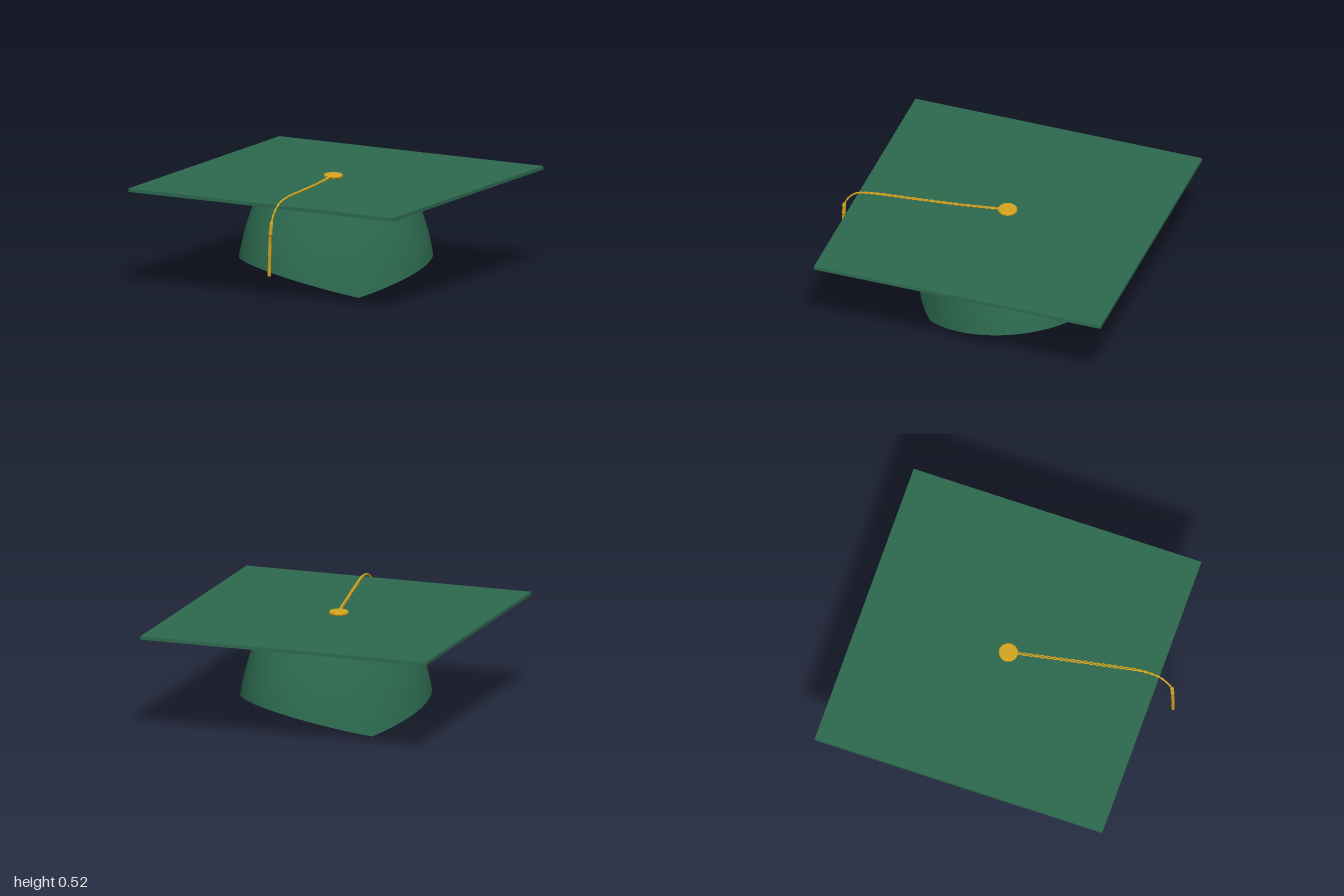
import * as THREE from 'three';

const V = (x, y, z) => new THREE.Vector3(x, y, z);

// Hollow skull cap: elliptical rings with a slanted rim, outer wall up, inner wall down
function skullCapGeometry() {
  const seg = 96, rows = 10, thick = 0.012;
  const rings = [];
  for (let i = 0; i <= rows; i++) rings.push([i / rows, 0]);
  const outer = rings.slice();
  const inner = outer.map(([t]) => [t, thick]).reverse();
  const rim = [[0, thick], [0, 0]];
  const pos = [], idx = [];
  for (const strip of [outer, inner, rim]) {
    const base = pos.length / 3;
    for (const [t, inset] of strip) {
      const bulge = 0.016 * 4 * t * (1 - t);
      const rx = THREE.MathUtils.lerp(0.455, 0.338, t) + bulge - inset;
      const rz = THREE.MathUtils.lerp(0.402, 0.288, t) + bulge - inset;
      for (let j = 0; j <= seg; j++) {
        const a = (j / seg) * Math.PI * 2;
        const y = THREE.MathUtils.lerp(0.127 * Math.abs(Math.sin(a)), 0.48, t);
        pos.push(rx * Math.sin(a), y, rz * Math.cos(a));
      }
    }
    for (let i = 0; i < strip.length - 1; i++) {
      for (let j = 0; j < seg; j++) {
        const a = base + i * (seg + 1) + j, b = a + 1, c = a + seg + 1, d = c + 1;
        idx.push(a, b, c, b, d, c);
      }
    }
  }
  const g = new THREE.BufferGeometry();
  g.setAttribute('position', new THREE.Float32BufferAttribute(pos, 3));
  g.setIndex(idx);
  g.computeVertexNormals();
  return g;
}

export function createModel() {
  const group = new THREE.Group();
  const green = new THREE.MeshStandardMaterial({ color: 0x2d6a4f });
  green.name = 'green cloth';
  const gold = new THREE.MeshStandardMaterial({ color: 0xd4a520 });
  gold.name = 'gold thread';

  const add = (name, geometry, material, parent = group) => {
    const mesh = new THREE.Mesh(geometry, material);
    mesh.name = name;
    parent.add(mesh);
    return mesh;
  };

  add('skullCap', skullCapGeometry(), green);

  // Square board turned corner to the front
  const side = Math.SQRT2;
  const board = add('board', new THREE.BoxGeometry(side, 0.016, side), green);
  board.position.y = 0.486;
  board.rotation.y = Math.PI / 4;

  // Button with a softened top edge
  const buttonProfile = [[0, 0], [0.042, 0], [0.045, 0.004], [0.045, 0.012], [0.041, 0.016], [0, 0.016]];
  const button = add('button', new THREE.LatheGeometry(
    buttonProfile.map(([x, y]) => new THREE.Vector2(x, y)), 24).toNonIndexed(), gold);
  button.geometry.computeVertexNormals();
  button.position.set(-0.012, 0.494, -0.004);

  // Two strands twisted round a path that drops over the board edge
  const path = new THREE.CatmullRomCurve3([
    V(-0.02, 0.503, 0.01), V(-0.14, 0.506, 0.185), V(-0.27, 0.514, 0.37), V(-0.38, 0.518, 0.52),
    V(-0.43, 0.503, 0.573), V(-0.462, 0.465, 0.6), V(-0.478, 0.425, 0.614),
  ]);
  const cord = new THREE.Group();
  cord.name = 'cord';
  group.add(cord);
  const across = V(0.8, 0, 0.58).normalize(), up = V(0, 1, 0);
  for (const phase of [0, Math.PI]) {
    const points = [];
    for (let i = 0; i <= 160; i++) {
      const t = i / 160, a = phase + t * Math.PI * 28;
      const spread = 0.0055 * (1 - 0.65 * THREE.MathUtils.smoothstep(t, 0.65, 0.9));
      points.push(path.getPointAt(t)
        .addScaledVector(across, spread * Math.cos(a))
        .addScaledVector(up, 0.002 * Math.sin(a)));
    }
    add('cordStrand', new THREE.TubeGeometry(new THREE.CatmullRomCurve3(points), 240, 0.0036, 6), gold, cord);
  }

  // Tassel: bound head over a bundle of hanging threads
  const tassel = new THREE.Group();
  tassel.name = 'tassel';
  group.add(tassel);
  const headProfile = [[0, 0], [0.008, 0.001], [0.01, 0.012], [0.008, 0.04], [0.0095, 0.055], [0.008, 0.068], [0, 0.072]];
  const head = add('tasselHead', new THREE.LatheGeometry(
    headProfile.map(([x, y]) => new THREE.Vector2(x, y)), 12), gold, tassel);
  head.position.set(-0.485, 0.358, 0.615);
  head.rotation.z = -0.1;
  for (let i = 0; i < 7; i++) {
    const a = (i / 6) * Math.PI * 2, r = i === 6 ? 0 : 0.0045;
    const dx = Math.cos(a) * r, dz = Math.sin(a) * r;
    const top = V(-0.485 + dx, 0.365, 0.615 + dz), end = V(-0.49 + dx, 0.17, 0.615 + dz);
    const thread = add('tasselThread', new THREE.CylinderGeometry(0.003, 0.0035, top.distanceTo(end), 6), gold, tassel);
    thread.position.copy(top).lerp(end, 0.5);
    thread.quaternion.setFromUnitVectors(up, top.clone().sub(end).normalize());
  }
  return group;
}
